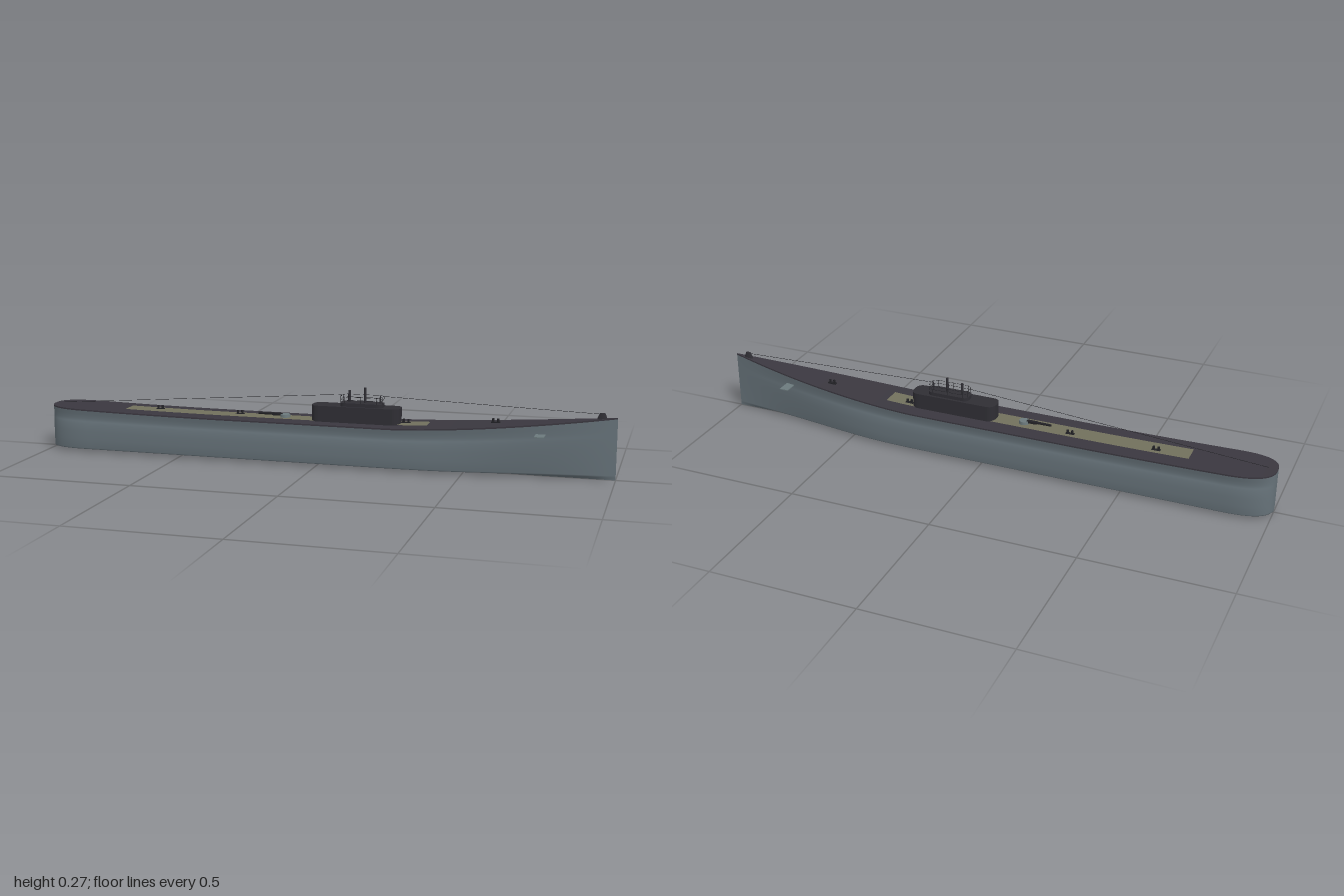
import * as THREE from 'three';

const mat = (name, color) => {
  const m = new THREE.MeshStandardMaterial({ color });
  m.name = name;
  return m;
};
const hullGrey = mat('hull grey', 0x667279);
const deckDark = mat('deck dark', 0x3a373f);
const towerDark = mat('tower dark', 0x2f2e34);
const planking = mat('deck planking', 0x71705c);
const gunGrey = mat('gun grey', 0x6c7a7d);
const fittingBlack = mat('fitting black', 0x222226);

const BEAM = 0.087;
const smooth = (a, b, x) => THREE.MathUtils.smoothstep(x, a, b);

// Plan half-width and sheer line along the length
function halfWidth(x) {
  if (x < -0.84) return BEAM * Math.pow(Math.max(0, 1 - Math.pow((-0.84 - x) / 0.16, 2.6)), 1 / 2.6);
  if (x > 0.2) return BEAM * (1 - Math.pow((x - 0.2) / 0.8, 2));
  return BEAM;
}
function deckHeight(x) {
  if (x < -0.3) return 0.145 + 0.01 * Math.pow((-0.3 - x) / 0.7, 2);
  if (x > 0.25) return 0.145 + 0.061 * Math.pow((x - 0.25) / 0.75, 1.5);
  return 0.145;
}

// Stations, packed closely round the stern
const stations = [];
for (let i = 0; i < 16; i++) stations.push(-1 + 0.16 * (1 - Math.cos((i / 16) * Math.PI / 2)));
for (let i = 0; i <= 60; i++) stations.push(-0.84 + 1.84 * i / 60);

// Half section: width share and height share, deck edge to keel
const section = [[1, 1], [0.96, 0.9], [0.93, 0.8], [0.945, 0.73], [0.985, 0.67], [1, 0.5],
  [0.995, 0.3], [0.975, 0.1], [0.93, 0.07], [0.5, 0.04], [0, 0]];

// Surface through rows of points; flip reverses the facing
function gridGeometry(rows, flip = false) {
  const n = rows[0].length, idx = [];
  for (let i = 0; i < rows.length - 1; i++) {
    for (let j = 0; j < n - 1; j++) {
      const a = i * n + j, b = a + 1, c = a + n, d = c + 1;
      if (flip) idx.push(a, c, b, b, c, d);
      else idx.push(a, b, c, b, d, c);
    }
  }
  const g = new THREE.BufferGeometry();
  g.setAttribute('position', new THREE.Float32BufferAttribute(rows.flat(2), 3));
  g.setIndex(idx);
  g.computeVertexNormals();
  return g;
}

function hullSide(side) {
  const rows = stations.map(x => section.map(([w, h]) => {
    const hollow = 1 - 0.5 * smooth(0.35, 0.95, x) * Math.pow(1 - h, 1.5);
    const y = h > 0.1 ? h * deckHeight(x) : h * 0.145;
    return [x, y, side * halfWidth(x) * w * hollow];
  }));
  const g = gridGeometry(rows, side < 0);
  // Round the stern seam smoothly
  for (let j = 0; j < section.length; j++) g.attributes.normal.setXYZ(j, -1, 0, 0);
  return g;
}

export function createModel() {
  const root = new THREE.Group();
  root.name = 'submarine';
  const add = (name, geo, material, x = 0, y = 0, z = 0, parent = root) => {
    const m = new THREE.Mesh(geo, material);
    m.name = name;
    m.position.set(x, y, z);
    parent.add(m);
    return m;
  };
  const cyl = (r, h, n = 12, rTop = r) => new THREE.CylinderGeometry(rTop, r, h, n);
  const box = (w, h, d) => new THREE.BoxGeometry(w, h, d);
  const rod = (name, a, b, r, material, parent = root) =>
    add(name, new THREE.TubeGeometry(new THREE.LineCurve3(new THREE.Vector3(...a), new THREE.Vector3(...b)),
      1, r, 6), material, 0, 0, 0, parent);

  // Hull
  add('hullLeft', hullSide(1), hullGrey);
  add('hullRight', hullSide(-1), hullGrey);

  // Deck following the sheer, with a thin dark edge
  const across = [-1, -0.5, 0, 0.5, 1];
  add('deck', gridGeometry(stations.map(x =>
    across.map(t => [x, deckHeight(x) + 0.003, t * (halfWidth(x) + 0.0008)]))), deckDark);
  for (const s of [1, -1]) {
    add('deckEdge', gridGeometry(stations.map(x => [0.003, -0.002].map(dy =>
      [x, deckHeight(x) + dy, s * (halfWidth(x) + 0.0008)])), s < 0), deckDark);
  }

  // Planked walkway
  const walk = [];
  for (let i = 0; i <= 40; i++) {
    const x = -0.715 + 1.09 * i / 40;
    walk.push([-0.034, 0.034].map(z => [x, deckHeight(x) + 0.0055, z]));
  }
  add('walkway', gridGeometry(walk), planking);

  // Conning tower in two rounded tiers
  const tier = (name, x0, x1, hw, r, y0, y1) => {
    const s = new THREE.Shape();
    s.moveTo(x0 + r, -hw).lineTo(x1 - r, -hw).quadraticCurveTo(x1, -hw, x1, -hw + r)
      .lineTo(x1, hw - r).quadraticCurveTo(x1, hw, x1 - r, hw)
      .lineTo(x0 + r, hw).quadraticCurveTo(x0, hw, x0, hw - r)
      .lineTo(x0, -hw + r).quadraticCurveTo(x0, -hw, x0 + r, -hw);
    const g = new THREE.ExtrudeGeometry(s, { depth: y1 - y0, bevelEnabled: false, curveSegments: 8 });
    g.rotateX(-Math.PI / 2);
    add(name, g, towerDark, 0, y0);
  };
  tier('tower', -0.03, 0.28, 0.036, 0.03, 0.142, 0.203);
  tier('bridge', 0.07, 0.22, 0.027, 0.02, 0.203, 0.215);

  // Bridge railing
  const railing = new THREE.Group();
  railing.name = 'bridgeRailing';
  root.add(railing);
  const railPts = [[0.073, -0.014], [0.088, -0.026], [0.145, -0.026], [0.202, -0.026], [0.217, -0.014],
    [0.217, 0.014], [0.202, 0.026], [0.145, 0.026], [0.088, 0.026], [0.073, 0.014]];
  railPts.forEach(([x, z], i) => {
    const [nx, nz] = railPts[(i + 1) % railPts.length];
    rod('railPost', [x, 0.212, z], [x, 0.238, z], 0.0008, fittingBlack, railing);
    for (const y of [0.226, 0.238]) rod('rail', [x, y, z], [nx, y, nz], 0.0006, fittingBlack, railing);
  });

  // Periscopes and mast
  for (const [x, top, r] of [[0.1, 0.256, 0.005], [0.155, 0.267, 0.005], [0.208, 0.243, 0.003]]) {
    const h = top - 0.21;
    add('periscope', cyl(r, h, 12, r * 0.8), towerDark, x, 0.21 + h / 2);
  }

  // Deck gun, barrel aft
  const gun = new THREE.Group();
  gun.name = 'deckGun';
  gun.position.set(-0.13, 0.149, 0);
  root.add(gun);
  add('gunBase', cyl(0.018, 0.012, 20, 0.017), gunGrey, 0, 0.006, 0, gun);
  add('gunBreech', box(0.036, 0.008, 0.012), fittingBlack, -0.028, 0.01, 0, gun);
  const barrel = add('gunBarrel', cyl(0.005, 0.085, 10, 0.004), fittingBlack, -0.055, 0.011, 0, gun);
  barrel.rotation.z = Math.PI / 2;

  // Paired bollards
  for (const x of [-0.6, -0.3, 0.295, 0.6]) {
    const y = deckHeight(x) + 0.003;
    add('bollardPlate', box(0.03, 0.004, 0.012), fittingBlack, x, y + 0.002, -0.013);
    for (const dx of [-0.008, 0.008]) add('bollard', cyl(0.004, 0.014, 10), fittingBlack, x + dx, y + 0.008, -0.013);
  }

  // Bow fitting, narrow across the deck
  const bowFitting = add('bowFitting', cyl(0.018, 0.022, 14, 0.009), towerDark, 0.95, deckHeight(0.95) + 0.011);
  bowFitting.scale.z = 0.45;

  // Bow diving planes
  for (const s of [1, -1]) add('divingPlane', box(0.032, 0.003, 0.06), gunGrey, 0.757, 0.147, s * 0.06);

  // Aerial wires
  rod('aftWire', [-0.97, 0.16, 0], [0.073, 0.24, 0], 0.0007, fittingBlack);
  rod('foreWire', [0.217, 0.24, 0], [0.95, 0.218, 0], 0.0007, fittingBlack);

  return root;
}
